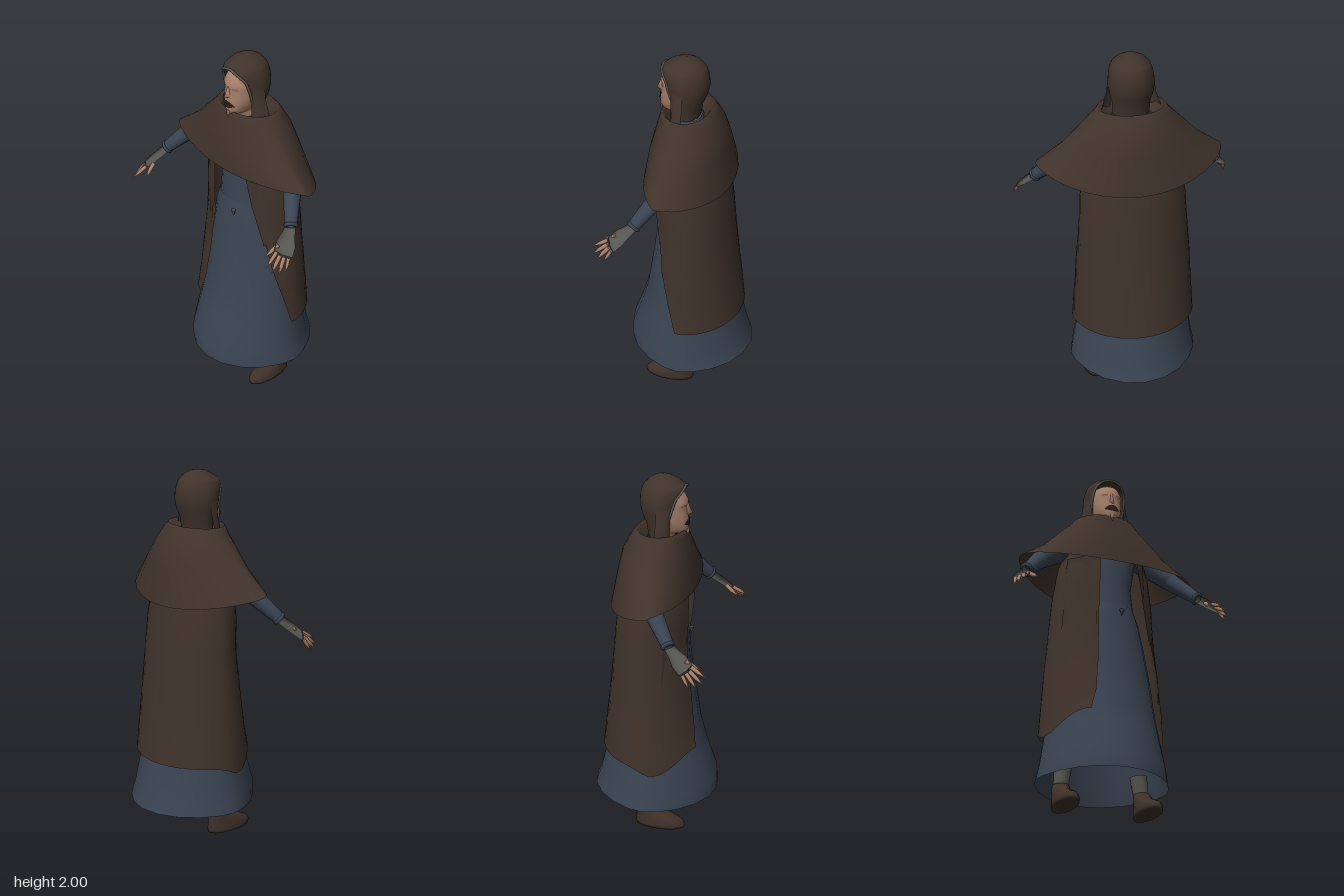
import * as THREE from 'three';
import { mergeVertices } from 'three/addons/utils/BufferGeometryUtils.js';

const mat = (name, color, side = THREE.FrontSide) => {
  const m = new THREE.MeshStandardMaterial({ color, side });
  m.name = name;
  return m;
};
const V = (x, y, z) => new THREE.Vector3(x, y, z);
const rad = THREE.MathUtils.degToRad;

// Joins rows of points into one smooth surface
function skin(rows) {
  const n = rows[0].length, index = [];
  for (let r = 0; r < rows.length - 1; r++) {
    for (let s = 0; s < n - 1; s++) {
      const a = r * n + s, b = a + n;
      index.push(a, b, b + 1, a, b + 1, a + 1);
    }
  }
  let g = new THREE.BufferGeometry().setFromPoints(rows.flat());
  g.setIndex(index);
  g = mergeVertices(g, 1e-5);
  g.computeVertexNormals();
  return g;
}

// Point on an oval ring: angle 0 is the front, positive turns to the left (+x)
function onRing([y, rx, zf, zb, , , zc = (zf + zb) / 2, pinch = 1], a) {
  const c = Math.sign(Math.cos(a)) * Math.abs(Math.cos(a)) ** pinch;
  return V(rx * Math.sin(a), typeof y === 'function' ? y(a) : y, zc + c * (c > 0 ? zf - zc : zc - zb));
}

// Rings run top to bottom: [y or y(angle), half width, front z, back z, from, to, centre z, pinch]
const loft = (rings, seg = 24) => skin(rings.map(r => {
  const from = rad(r[4] ?? -180), to = rad(r[5] ?? 180);
  return Array.from({ length: seg + 1 }, (_, i) => onRing(r, from + (to - from) * i / seg));
}));

// Tapered limb from a to b
function between(a, b, r0, r1, sides = 10) {
  const d = b.clone().sub(a);
  const g = new THREE.CylinderGeometry(r1, r0, d.length(), sides);
  g.applyQuaternion(new THREE.Quaternion().setFromUnitVectors(V(0, 1, 0), d.normalize()));
  const c = a.clone().add(b).multiplyScalar(0.5);
  return g.translate(c.x, c.y, c.z);
}

export function createModel() {
  const cloth = mat('brown cloth', 0x40332b, THREE.DoubleSide);
  const blue = mat('blue dress', 0x3a4452, THREE.DoubleSide);
  const flesh = mat('skin', 0xa67f69, THREE.DoubleSide);
  const lid = mat('skin shade', 0x8c6a58, THREE.DoubleSide);
  const dark = mat('mouth dark', 0x2a1d18, THREE.DoubleSide);
  const grey = mat('grey wrap', 0x565650);
  const leather = mat('boot leather', 0x3e3029);

  const model = new THREE.Group();
  const add = (name, geometry, material, parent = model) => {
    const m = new THREE.Mesh(geometry, material);
    m.name = name;
    parent.add(m);
    return m;
  };

  // Dress
  add('skirt', loft([
    [1.16, 0.17, 0.14, -0.13], [1.08, 0.2, 0.155, -0.16], [0.95, 0.235, 0.165, -0.2],
    [0.75, 0.272, 0.195, -0.25], [0.55, 0.3, 0.226, -0.285], [0.42, 0.32, 0.262, -0.305],
    [0.24, 0.348, 0.325, -0.35], [0.15, 0.365, 0.33, -0.38],
  ].map((r, i) => [...r, -180, 180, (r[2] + r[3]) / 2, 1 + 0.035 * i]), 20), blue);
  add('bodice', loft([
    [1.66, 0.07, 0.06, -0.07], [1.58, 0.19, 0.1, -0.12], [1.45, 0.18, 0.13, -0.14],
    [1.3, 0.155, 0.13, -0.13], [1.14, 0.17, 0.137, -0.13],
  ]), blue);
  const charm = add('beltCharm', new THREE.ConeGeometry(0.016, 0.04, 4), grey);
  charm.position.set(0.05, 1.1, 0.155);
  charm.rotation.x = Math.PI;

  // Long cloak, open at the front and wider open on its left
  const hem = a => 0.425 + 0.06 * Math.exp(-(((a + 0.5) / 0.4) ** 2)) - 0.055 * Math.exp(-(((a + 1.3) / 0.4) ** 2));
  add('cloak', loft([
    // the ring runs from the left edge around the back to the right edge
    [1.55, 0.22, 0.14, -0.18, 25, 340], [1.38, 0.265, 0.18, -0.215, 34, 343],
    [1.2, 0.29, 0.18, -0.24, 41, 343], [1.05, 0.3, 0.175, -0.255, 47, 343],
    [0.8, 0.322, 0.207, -0.28, 60, 342], [0.6, 0.336, 0.238, -0.305, 74, 339],
    [a => hem(a > Math.PI ? a - 2 * Math.PI : a), 0.35, 0.268, -0.325, 85, 334],
  ].map((r, i) => [...r, (r[2] + r[3]) / 2, 1 + 0.02 * i]), 36), cloth);
  // Folded front edges hanging inside the opening
  add('rightCloakFold', skin([
    [V(-0.24, 1.42, 0.07), V(-0.155, 1.42, 0.145), V(-0.085, 1.42, 0.165)],
    [V(-0.26, 1.1, 0.07), V(-0.15, 1.1, 0.145), V(-0.1, 1.1, 0.168)],
    [V(-0.28, 0.8, 0.07), V(-0.15, 0.8, 0.15), V(-0.115, 0.78, 0.186)],
  ]), cloth);
  add('leftCloakFold', skin([
    [V(0.14, 1.42, 0.16), V(0.18, 1.42, 0.14), V(0.2, 1.42, 0.09)],
    [V(0.178, 1.2, 0.14), V(0.195, 1.2, 0.125), V(0.21, 1.2, 0.1)],
    [V(0.232, 0.95, 0.1), V(0.236, 0.95, 0.095), V(0.24, 0.95, 0.085)],
  ]), cloth);

  // Shoulder cape with a rolled collar
  const capeHem = a => 1.345 + 0.045 * Math.cos(a) + 0.05 * Math.sin(a) ** 2;
  add('shoulderCape', loft([
    [1.65, 0.11, 0.09, -0.08], [1.69, 0.155, 0.12, -0.11], [1.712, 0.18, 0.132, -0.125],
    [1.68, 0.205, 0.142, -0.155, -180, 180, 0], [1.6, 0.28, 0.162, -0.2, -180, 180, 0.02, 1.1],
    [1.5, 0.374, 0.188, -0.224, -180, 180, 0.035, 1.22],
    [capeHem, 0.512, 0.2, -0.26, -180, 180, 0.05, 1.36],
  ], 32), cloth);

  // Rounded hood, open around the face and narrowing to the neck
  const hood = [
    [2, 0.002, 0.012, 0.008, 0], [1.992, 0.042, 0.055, -0.035, 0], [1.97, 0.078, 0.098, -0.07, 0],
    [1.946, 0.1, 0.13, -0.092, 0], [1.938, 0.105, 0.138, -0.097, 22], [1.92, 0.111, 0.142, -0.104, 36],
    [1.89, 0.119, 0.135, -0.111, 46], [1.84, 0.123, 0.125, -0.112, 51], [1.79, 0.116, 0.11, -0.1, 55],
    [1.74, 0.102, 0.095, -0.078, 60], [1.67, 0.098, 0.09, -0.066, 62],
  ];
  add('hood', loft(hood.map(([y, rx, f, b, a]) => [y, rx, f, b, a, 360 - a]), 32), cloth);
  const open = hood.slice(4);
  const edge = [
    ...open.map(r => onRing(r, -rad(r[4]))).reverse(),
    onRing(hood[3], 0),
    ...open.map(r => onRing(r, rad(r[4]))),
  ];
  add('hoodTrim', new THREE.TubeGeometry(new THREE.CatmullRomCurve3(edge), 48, 0.007, 6), grey);
  // Loose side drapes of the hood
  for (const s of [-1, 1]) {
    add('hoodDrape', skin([
      [V(s * 0.095, 1.87, 0.075), V(s * 0.115, 1.87, 0.04), V(s * 0.12, 1.87, 0)],
      [V(s * 0.095, 1.78, 0.07), V(s * 0.125, 1.78, 0.045), V(s * 0.13, 1.78, 0)],
      [V(s * 0.1, 1.68, 0.07), V(s * 0.15, 1.68, 0.05), V(s * 0.165, 1.68, 0)],
    ]), cloth);
  }

  // Head and neck
  const head = [
    [1.942, 0.005, 0.03, 0.02], [1.935, 0.05, 0.085, -0.06], [1.91, 0.076, 0.12, -0.08],
    [1.865, 0.09, 0.145, -0.09], [1.84, 0.09, 0.138, -0.09], [1.8, 0.088, 0.143, -0.085],
    [1.76, 0.08, 0.147, -0.07], [1.72, 0.065, 0.147, -0.05], [1.695, 0.045, 0.138, -0.04],
    [1.685, 0.045, 0.08, -0.05], [1.6, 0.06, 0.06, -0.05],
  ];
  add('head', loft(head, 28), flesh);
  add('nose', skin([
    [V(-0.008, 1.855, 0.135), V(0, 1.855, 0.145), V(0.008, 1.855, 0.135)],
    [V(-0.012, 1.83, 0.13), V(0, 1.825, 0.157), V(0.012, 1.83, 0.13)],
    [V(-0.02, 1.8, 0.13), V(0, 1.8, 0.17), V(0.02, 1.8, 0.13)],
    [V(-0.014, 1.788, 0.13), V(0, 1.787, 0.142), V(0.014, 1.788, 0.13)],
  ]), flesh);
  for (const s of [-1, 1]) {
    add('eyelid', loft([
      [1.849, 0.093, 0.143, -0.09, s * 26 - 10, s * 26 + 10],
      [1.841, 0.093, 0.142, -0.09, s * 26 - 12, s * 26 + 12],
      [1.837, 0.093, 0.142, -0.09, s * 26 - 8, s * 26 + 8],
    ], 6), lid);
  }
  // Moustache line over an open mouth
  add('mouth', loft([
    [a => 1.775 - 0.09 * a * a, 0.085, 0.151, -0.08, -32, 32],
    [a => 1.758 - 0.05 * a * a, 0.084, 0.152, -0.075, -29, 29],
    [a => 1.736 + 0.03 * a * a, 0.078, 0.152, -0.065, -13, 13],
  ], 10), dark);
  add('chinTuft', between(V(0, 1.715, 0.138), V(0, 1.675, 0.148), 0.014, 0.002, 6), flesh);

  // Arms, gloves and fingers, built on the left and mirrored
  for (const s of [1, -1]) {
    const P = (x, y, z) => V(s * x, y, z);
    const arm = new THREE.Group();
    arm.name = s > 0 ? 'leftArm' : 'rightArm';
    model.add(arm);
    const elbow = P(0.385, 1.405, 0.045), wrist = P(0.5, 1.262, 0.16);
    add('upperSleeve', between(P(0.17, 1.56, -0.02), elbow, 0.066, 0.052, 14), blue, arm);
    add('elbow', new THREE.SphereGeometry(0.051, 14, 10), blue, arm).position.copy(elbow);
    add('lowerSleeve', between(elbow, wrist, 0.051, 0.033, 14), blue, arm);
    const cuff = add('cuff', new THREE.TorusGeometry(0.029, 0.011, 6, 12), blue, arm);
    cuff.position.copy(wrist);
    cuff.lookAt(elbow);

    // flat glove: ovals spread along the knuckle line
    const across = P(0.78, -0.28, -0.5).normalize();
    const along = P(0.06, -0.1, 0.11).normalize();
    const thick = across.clone().cross(along).normalize().multiplyScalar(s);
    const rows = [[0, 0.001, 0.001], [0, 0.027, 0.024], [0.05, 0.036, 0.022], [0.1, 0.052, 0.02],
      [0.155, 0.051, 0.015], [0.162, 0.001, 0.001]].map(([t, w, h]) =>
      Array.from({ length: 13 }, (_, i) => {
        const a = s * i * Math.PI / 6;
        return wrist.clone().addScaledVector(along, t)
          .addScaledVector(across, w * Math.cos(a)).addScaledVector(thick, h * Math.sin(a));
      }));
    add('glove', skin(rows.reverse()), grey, arm);
    const fingers = [
      [P(0.508, 1.19, 0.255), P(0.488, 1.135, 0.33), 0.011],
      [P(0.533, 1.173, 0.29), P(0.548, 1.125, 0.372), 0.01],
      [P(0.553, 1.16, 0.285), P(0.575, 1.1, 0.362), 0.0105],
      [P(0.572, 1.155, 0.273), P(0.598, 1.085, 0.335), 0.0105],
      [P(0.588, 1.15, 0.256), P(0.604, 1.085, 0.295), 0.009],
    ];
    for (const [base, tip, r] of fingers) {
      const mid = base.clone().lerp(tip, 0.5);
      add('fingerBase', between(base, mid, r * 1.1, r, 8), flesh, arm);
      add('fingerTip', between(mid, tip, r, 0.001, 8), flesh, arm);
    }

    // Ankle wraps and boots
    const leg = new THREE.Group();
    leg.name = s > 0 ? 'leftLeg' : 'rightLeg';
    leg.position.x = s * 0.228;
    model.add(leg);
    add('ankleWrap', between(V(0, 0.1, -0.035), V(-s * 0.015, 0.235, -0.04), 0.04, 0.047, 12), grey, leg);
    add('boot', loft([
      [0.135, 0.001, -0.025, -0.027], [0.135, 0.044, 0.02, -0.082], [0.1, 0.05, 0.055, -0.085],
      [0.07, 0.054, 0.12, -0.086], [0.045, 0.059, 0.175, -0.088], [0.02, 0.062, 0.195, -0.09],
      [0.002, 0.06, 0.19, -0.088], [0, 0.001, 0.05, 0.048],
    ], 20), leather, leg);
  }
  return model;
}
